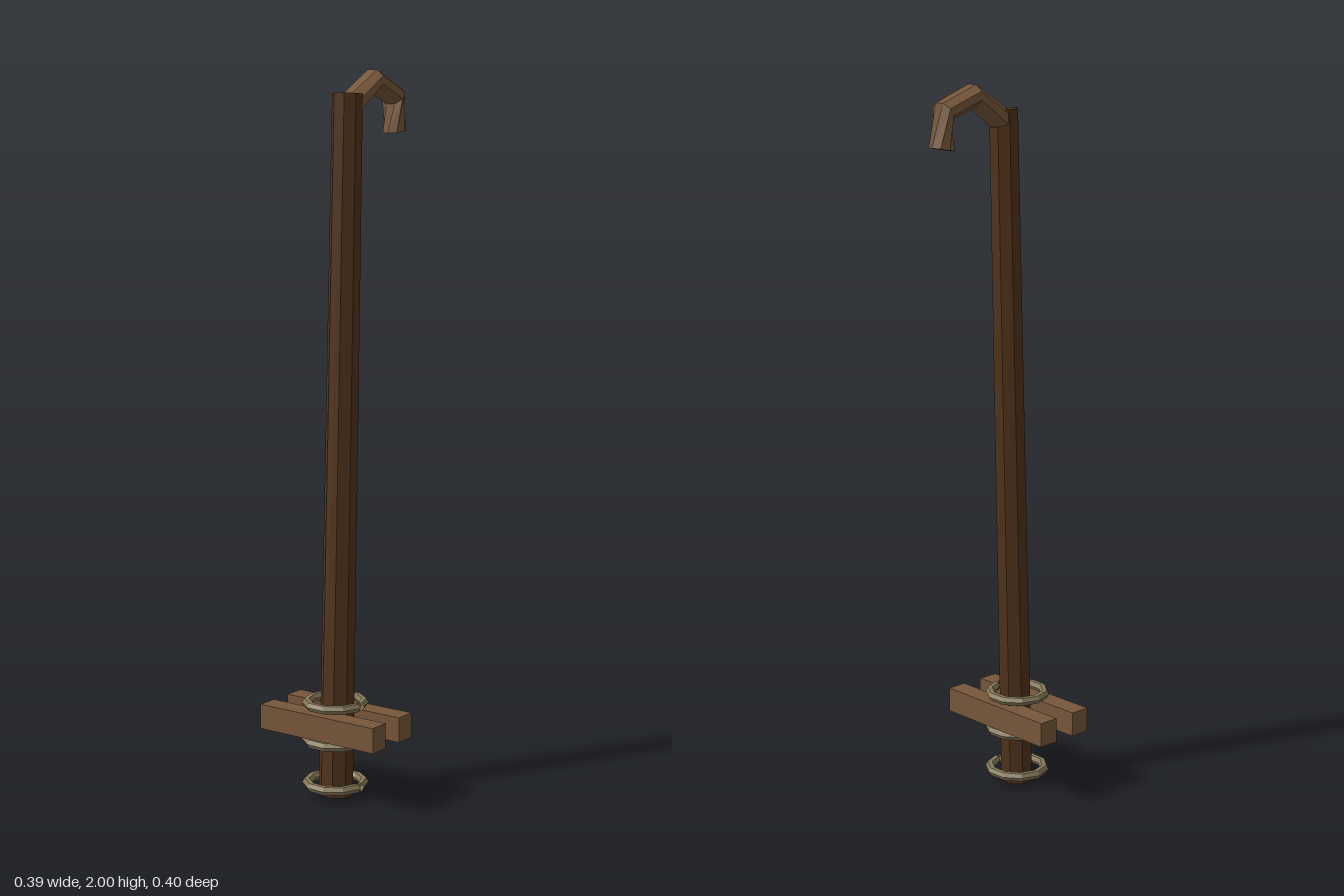
import * as THREE from 'three';

const SIDES = 8;

// Octagonal loft. Each ring: outer [y, z], inner [y, z], half width in x, optional twist.
function loft(rings) {
  const points = rings.map(({ outer, inner, hx, twist = 0 }) => {
    const mid = new THREE.Vector3(0, (outer[0] + inner[0]) / 2, (outer[1] + inner[1]) / 2);
    const half = new THREE.Vector3(0, (outer[0] - inner[0]) / 2, (outer[1] - inner[1]) / 2);
    const grow = 1 / Math.cos(Math.PI / SIDES);
    const ring = [];
    for (let j = 0; j < SIDES; j++) {
      const a = ((j + 0.5) / SIDES) * Math.PI * 2 + twist;
      const p = mid.clone().addScaledVector(half, Math.cos(a) * grow);
      p.x = Math.sin(a) * hx * grow;
      ring.push(p);
    }
    return { ring, mid };
  });
  const pos = [];
  const tri = (...corners) => corners.forEach((p) => pos.push(p.x, p.y, p.z));
  const last = points.length - 1;
  for (let j = 0; j < SIDES; j++) {
    const k = (j + 1) % SIDES;
    for (let i = 0; i < last; i++) {
      const a = points[i].ring, b = points[i + 1].ring;
      tri(a[j], a[k], b[k]);
      tri(a[j], b[k], b[j]);
    }
    tri(points[0].mid, points[0].ring[k], points[0].ring[j]);
    tri(points[last].mid, points[last].ring[j], points[last].ring[k]);
  }
  const geometry = new THREE.BufferGeometry();
  geometry.setAttribute('position', new THREE.Float32BufferAttribute(pos, 3));
  geometry.computeVertexNormals();
  return geometry;
}

function flat(name, color, side = THREE.FrontSide) {
  const material = new THREE.MeshStandardMaterial({ color, side, flatShading: true });
  material.name = name;
  return material;
}

export function createModel() {
  const model = new THREE.Group();
  model.name = 'hookedStaff';
  const darkWood = flat('darkWood', 0x4f321b);
  const lightWood = flat('lightWood', 0x76573a);
  const metal = flat('dullMetal', 0x857758, THREE.DoubleSide);

  const add = (name, geometry, material, x = 0, y = 0, z = 0) => {
    const mesh = new THREE.Mesh(geometry, material);
    mesh.name = name;
    mesh.position.set(x, y, z);
    model.add(mesh);
  };

  // Leaning, slightly tapered shaft
  add('shaft', loft([
    { outer: [0.005, 0.153], inner: [0.002, 0.067], hx: 0.046 },
    { outer: [1.935, 0.09], inner: [1.932, 0.016], hx: 0.04 },
  ]), darkWood);

  // Bent hook with a twisted tip
  add('hook', loft([
    { outer: [1.93, 0.058], inner: [1.878, 0.028], hx: 0.038 },
    { outer: [2.0, -0.06], inner: [1.943, -0.06], hx: 0.038 },
    { outer: [1.955, -0.175], inner: [1.91, -0.147], hx: 0.035 },
    { outer: [1.84, -0.199], inner: [1.83, -0.135], hx: 0.031, twist: Math.PI / SIDES },
  ]), lightWood);

  // Two cross planks clamping the shaft
  for (const [name, z] of [['frontPlank', 0.173], ['backPlank', 0.05]]) {
    add(name, new THREE.BoxGeometry(0.388, 0.07, 0.06), lightWood, 0, 0.215, z);
  }

  // Split binding rings, open on the left
  const gap = 0.16;
  const ringGeometry = new THREE.TorusGeometry(0.08, 0.013, 6, 10, Math.PI * 2 - gap)
    .rotateZ(gap / 2)
    .rotateX(Math.PI / 2);
  [['lowerRing', 0.038], ['middleRing', 0.163], ['upperRing', 0.268]].forEach(([name, y]) => {
    add(name, ringGeometry, metal, 0, y, 0.112);
  });

  return model;
}
